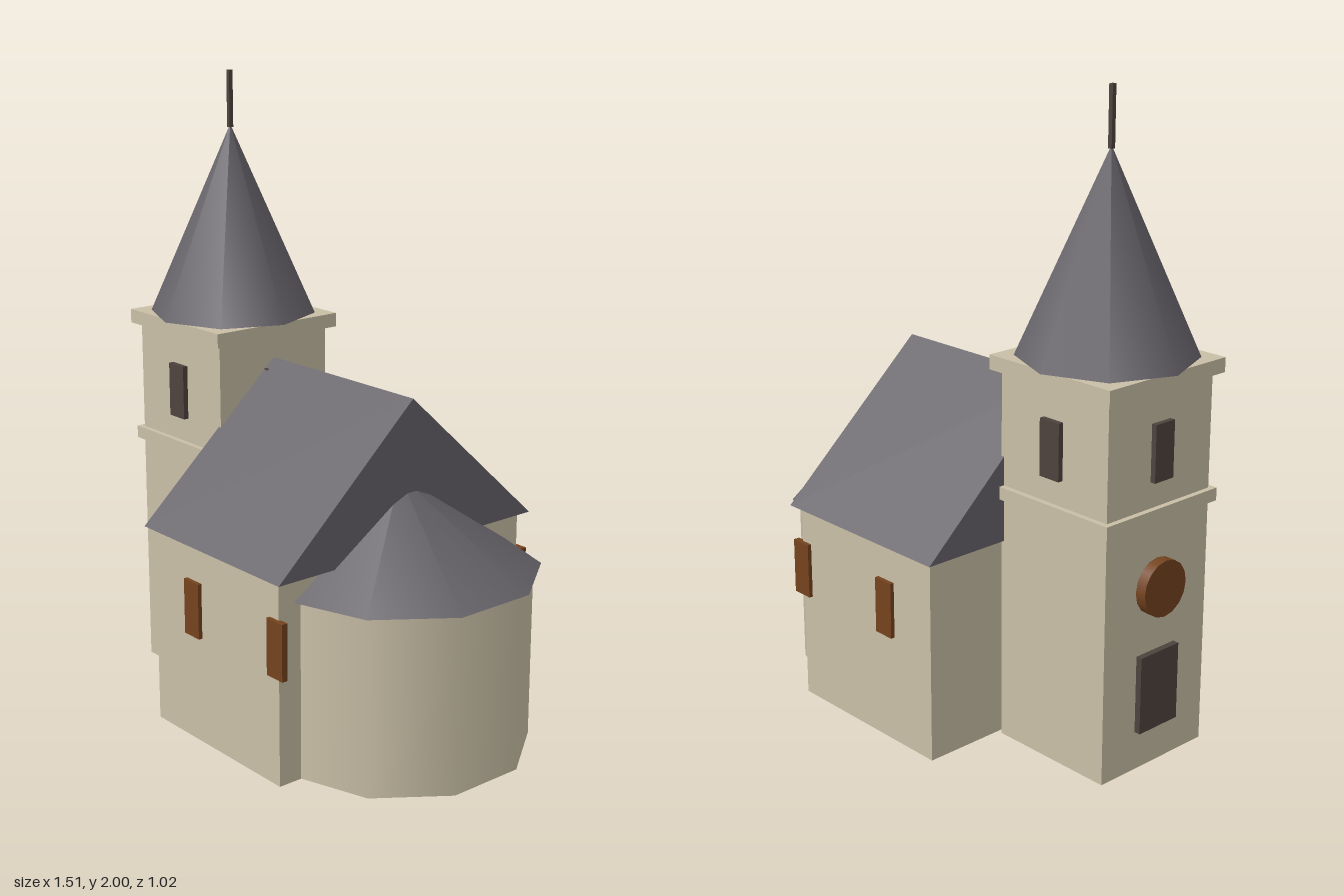
import * as THREE from 'three';

const mat = (name, color) => {
  const m = new THREE.MeshStandardMaterial({ color });
  m.name = name;
  return m;
};

export function createModel() {
  const church = new THREE.Group();
  church.name = 'church';
  const stone = mat('stone', 0xc9bfa6);
  const slate = mat('slate', 0x666369);
  const wood = mat('wood', 0x74431f);
  const dark = mat('dark opening', 0x4e433e);

  const add = (parent, name, geometry, material, x, y, z) => {
    const mesh = new THREE.Mesh(geometry, material);
    mesh.name = name;
    mesh.position.set(x, y, z);
    parent.add(mesh);
    return mesh;
  };
  // box given by its bottom height
  const box = (parent, name, material, w, h, d, x, y0, z) =>
    add(parent, name, new THREE.BoxGeometry(w, h, d), material, x, y0 + h / 2, z);

  // Tower with two cornices, an eight-sided spire and a finial
  const tower = new THREE.Group();
  tower.name = 'tower';
  tower.position.x = -0.485;
  church.add(tower);
  box(tower, 'towerWalls', stone, 0.43, 1.18, 0.43, 0, 0, 0);
  box(tower, 'lowerCornice', stone, 0.465, 0.04, 0.465, 0, 0.78, 0);
  box(tower, 'upperCornice', stone, 0.48, 0.045, 0.48, 0, 1.175, 0);
  add(tower, 'spire', new THREE.ConeGeometry(0.27, 0.61, 8), slate, 0, 1.525, 0);
  box(tower, 'finial', dark, 0.014, 0.18, 0.014, 0, 1.82, 0);

  // Belfry windows on all four sides
  for (let i = 0; i < 4; i++) {
    const side = new THREE.Group();
    side.name = 'belfrySide';
    side.rotation.y = (i * Math.PI) / 2;
    tower.add(side);
    box(side, 'belfryWindow', dark, 0.077, 0.175, 0.02, 0, 0.9, 0.222);
  }

  // Entrance and round window on the tower's outer face
  box(tower, 'door', dark, 0.02, 0.245, 0.16, -0.227, 0.125, 0);
  const rose = add(tower, 'roundWindow', new THREE.CylinderGeometry(0.088, 0.088, 0.035, 16), wood, -0.2325, 0.572, 0);
  rose.rotation.z = Math.PI / 2;

  // Nave with a gabled roof
  box(church, 'naveWalls', stone, 0.615, 0.645, 0.97, 0.0525, 0, 0);
  const gable = new THREE.Shape([
    new THREE.Vector2(-0.508, 0),
    new THREE.Vector2(0.508, 0),
    new THREE.Vector2(0, 0.462),
  ]);
  const roofGeometry = new THREE.ExtrudeGeometry(gable, { depth: 0.67, bevelEnabled: false });
  const roof = add(church, 'naveRoof', roofGeometry, slate, -0.28, 0.643, 0);
  roof.rotation.y = Math.PI / 2;

  // Nave windows, mirrored front and back
  for (const z of [-0.488, 0.488])
    for (const x of [-0.052, 0.355])
      box(church, 'naveWindow', wood, 0.072, 0.178, 0.02, x, 0.347, z);

  // Ten-sided apse, sunk into the nave
  add(church, 'apseWalls', new THREE.CylinderGeometry(0.412, 0.412, 0.567, 10), stone, 0.337, 0.2835, 0);
  add(church, 'apseRoof', new THREE.ConeGeometry(0.437, 0.29, 10), slate, 0.335, 0.71, 0);

  return church;
}
